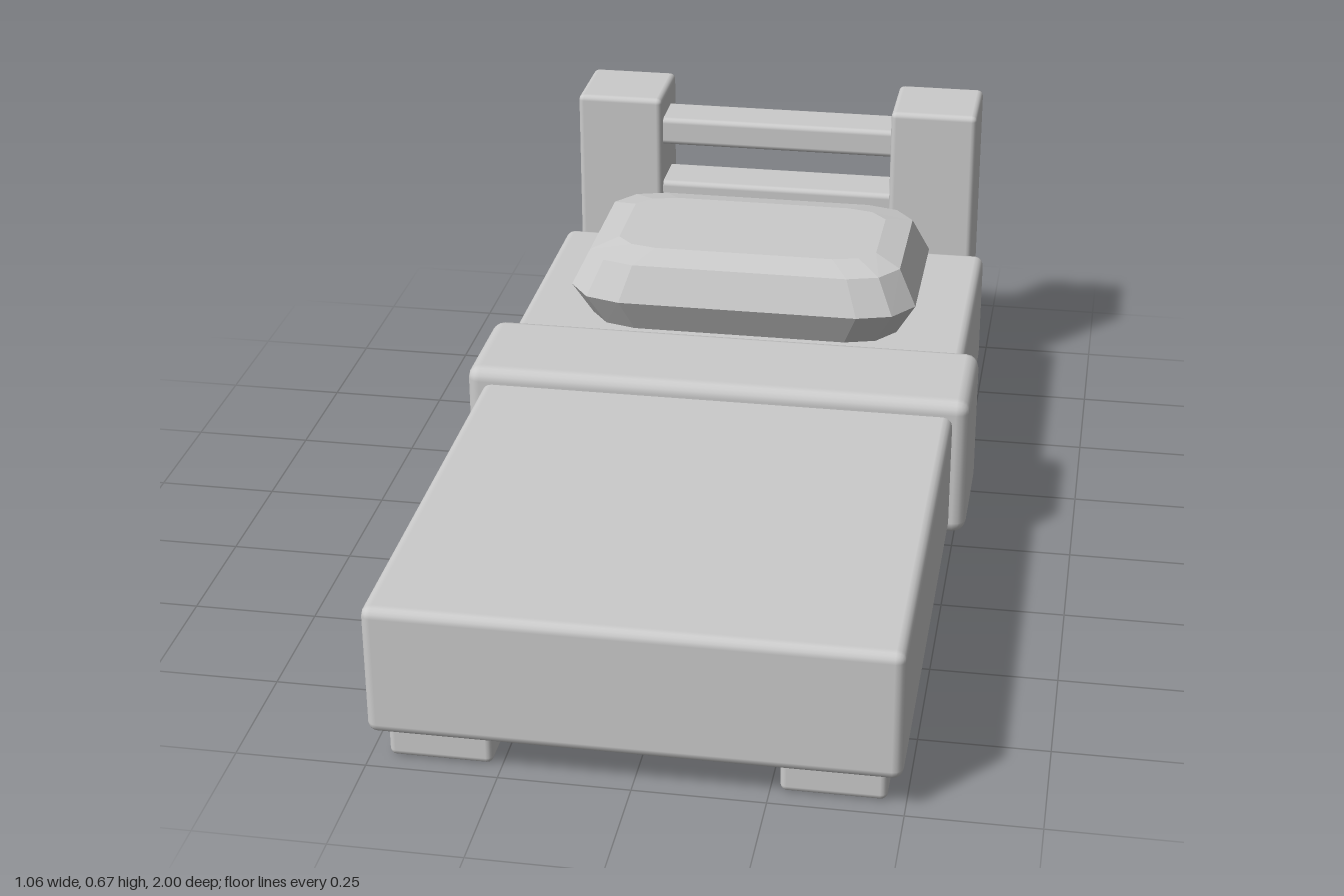
import * as THREE from 'three';
import { RoundedBoxGeometry } from 'three/addons/geometries/RoundedBoxGeometry.js';

const material = new THREE.MeshStandardMaterial({ color: 0xcccccc });

// Bevelled box given by its [min, max] extent on each axis
function block(name, [x0, x1], [y0, y1], [z0, z1], bevel) {
  const geometry = new RoundedBoxGeometry(x1 - x0, y1 - y0, z1 - z0, 2, bevel);
  const mesh = new THREE.Mesh(geometry, material);
  mesh.name = name;
  mesh.position.set((x0 + x1) / 2, (y0 + y1) / 2, (z0 + z1) / 2);
  return mesh;
}

// Faceted cushion: stacked 12-sided rings, capped at both ends
function pillowGeometry() {
  const quarter = [[0.38, 0.16], [0.335, 0.222], [0.26, 0.245]];
  const mirror = (sx, sz) => quarter.map(([x, z]) => [sx * x, sz * z]);
  const outline = [
    ...mirror(1, 1), ...mirror(-1, 1).reverse(),
    ...mirror(-1, -1), ...mirror(1, -1).reverse(),
  ];
  // [height, scale in x, scale in z]
  const levels = [
    [0.31, 0.86, 0.8], [0.335, 0.89, 0.85], [0.41, 1, 1],
    [0.487, 0.9, 0.87], [0.503, 0.75, 0.6],
  ];
  const n = outline.length;
  const points = [];
  for (const [y, sx, sz] of levels) {
    for (const [x, z] of outline) points.push(x * sx, y, z * sz);
  }
  const top = (levels.length - 1) * n;
  const bottomCentre = points.length / 3;
  points.push(0, levels[0][0], 0, 0, levels[levels.length - 1][0], 0);

  const index = [];
  for (let i = 0; i < n; i++) {
    const j = (i + 1) % n;
    for (let k = 0; k < top; k += n) {
      index.push(k + i, k + n + i, k + j, k + j, k + n + i, k + n + j);
    }
    index.push(bottomCentre, i, j, bottomCentre + 1, top + j, top + i);
  }
  const geometry = new THREE.BufferGeometry();
  geometry.setAttribute('position', new THREE.Float32BufferAttribute(points, 3));
  geometry.setIndex(index);
  const flat = geometry.toNonIndexed();
  flat.computeVertexNormals();
  return flat;
}

export function createModel() {
  const bed = new THREE.Group();
  bed.name = 'bed';

  // Mattress with a folded blanket band wrapped around it
  bed.add(block('mattress', [-0.495, 0.495], [0.07, 0.335], [-0.795, 1], 0.02));
  bed.add(block('blanketFold', [-0.53, 0.53], [0.06, 0.367], [-0.2, 0.065], 0.028));

  // Pillow
  const pillow = new THREE.Mesh(pillowGeometry(), material);
  pillow.name = 'pillow';
  pillow.position.z = -0.47;
  bed.add(pillow);

  // Headboard posts and front feet, mirrored left and right
  for (const [side, span] of [['left', [0.268, 0.465]], ['right', [-0.465, -0.268]]]) {
    bed.add(block(side + 'HeadPost', span, [0, 0.668], [-1, -0.803], 0.013));
    bed.add(block(side + 'FrontFoot', span, [0, 0.12], [0.765, 0.962], 0.013));
  }

  // Headboard rail and panel between the posts
  bed.add(block('headRail', [-0.28, 0.28], [0.55, 0.615], [-0.937, -0.822], 0.012));
  bed.add(block('headPanel', [-0.28, 0.28], [0.12, 0.46], [-0.942, -0.817], 0.012));

  return bed;
}
